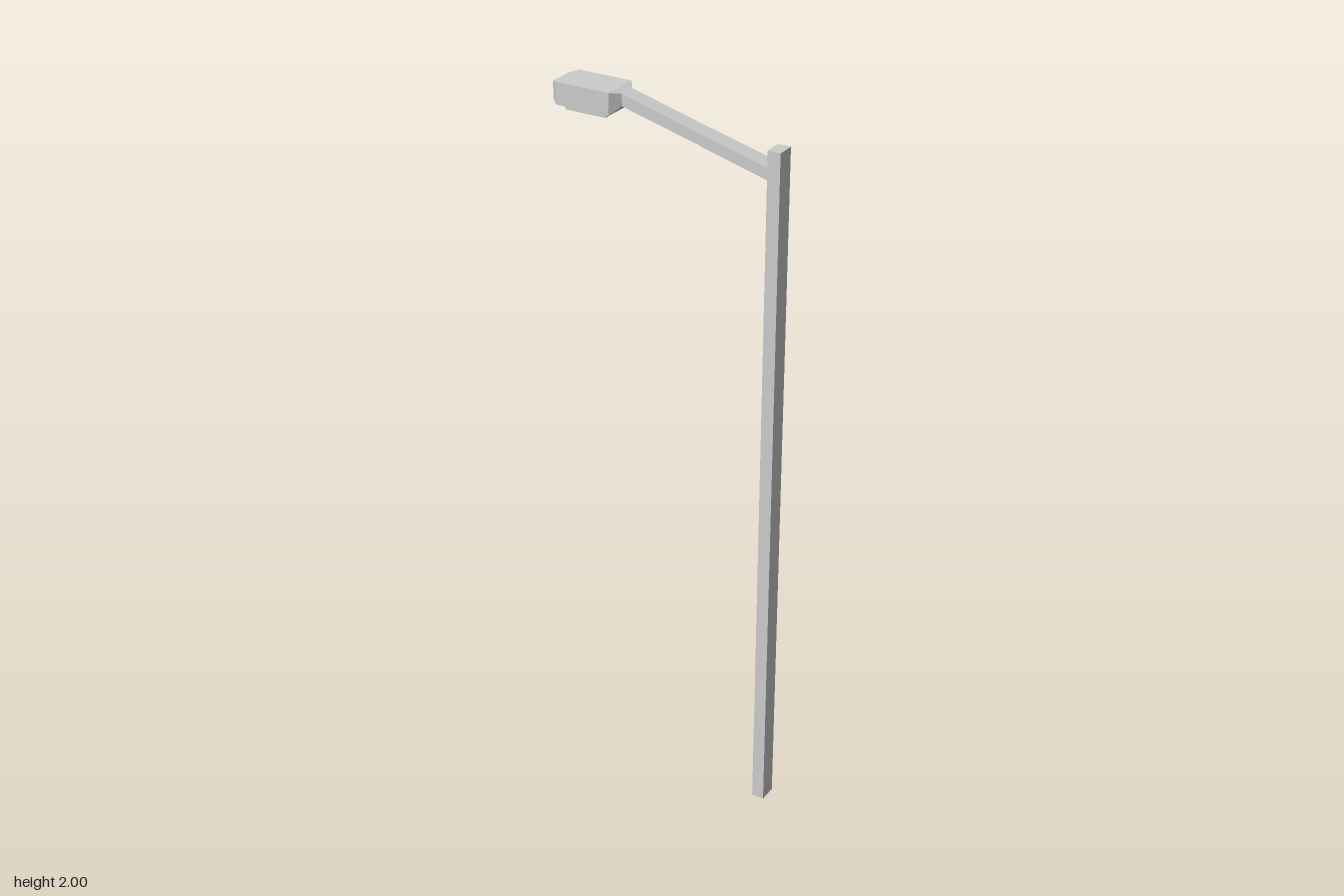
import * as THREE from 'three';

const material = new THREE.MeshStandardMaterial({ color: 0xcccccc, flatShading: true });

function addMesh(group, name, geometry) {
  const mesh = new THREE.Mesh(geometry, material);
  mesh.name = name;
  group.add(mesh);
  return mesh;
}

// Closed loft along x through rectangular sections [x, half depth, bottom, top]
function loft(sections) {
  const positions = [];
  const index = [];
  for (const [x, d, bottom, top] of sections) {
    positions.push(x, bottom, d, x, bottom, -d, x, top, -d, x, top, d);
  }
  const quad = (a, b, c, d) => index.push(a, b, c, a, c, d);
  for (let s = 0; s < sections.length - 1; s++) {
    for (let i = 0; i < 4; i++) {
      const a = s * 4 + i;
      const b = s * 4 + (i + 1) % 4;
      quad(a, b, b + 4, a + 4);
    }
  }
  const e = (sections.length - 1) * 4;
  quad(3, 2, 1, 0);
  quad(e, e + 1, e + 2, e + 3);
  const geometry = new THREE.BufferGeometry();
  geometry.setAttribute('position', new THREE.Float32BufferAttribute(positions, 3));
  geometry.setIndex(index);
  const flat = geometry.toNonIndexed();
  flat.computeVertexNormals();
  return flat;
}

export function createModel() {
  const group = new THREE.Group();
  group.name = 'streetLamp';

  // Square upright post
  const pole = addMesh(group, 'pole', new THREE.BoxGeometry(0.035, 1.93, 0.051));
  pole.position.set(0.303, 0.965, 0);

  // Arm rising from the post to the lamp
  addMesh(group, 'arm', loft([
    [-0.125, 0.024, 1.961, 1.993],
    [0.1, 0.024, 1.903, 1.934],
    [0.1, 0.0255, 1.903, 1.934],
    [0.287, 0.0255, 1.854, 1.886],
  ]));

  // Lamp head with chamfered nose and a neck narrowing to the arm
  addMesh(group, 'lampHead', loft([
    [-0.32, 0.035, 1.947, 1.994],
    [-0.3, 0.053, 1.941, 2],
    [-0.145, 0.053, 1.941, 2],
    [-0.125, 0.024, 1.961, 1.993],
  ]));

  // Light panel tapering slightly below the head
  addMesh(group, 'lightPanel', loft([
    [-0.288, 0.038, 1.94, 1.942],
    [-0.28, 0.04, 1.928, 1.942],
    [-0.164, 0.04, 1.928, 1.942],
    [-0.156, 0.038, 1.94, 1.942],
  ]));

  return group;
}
